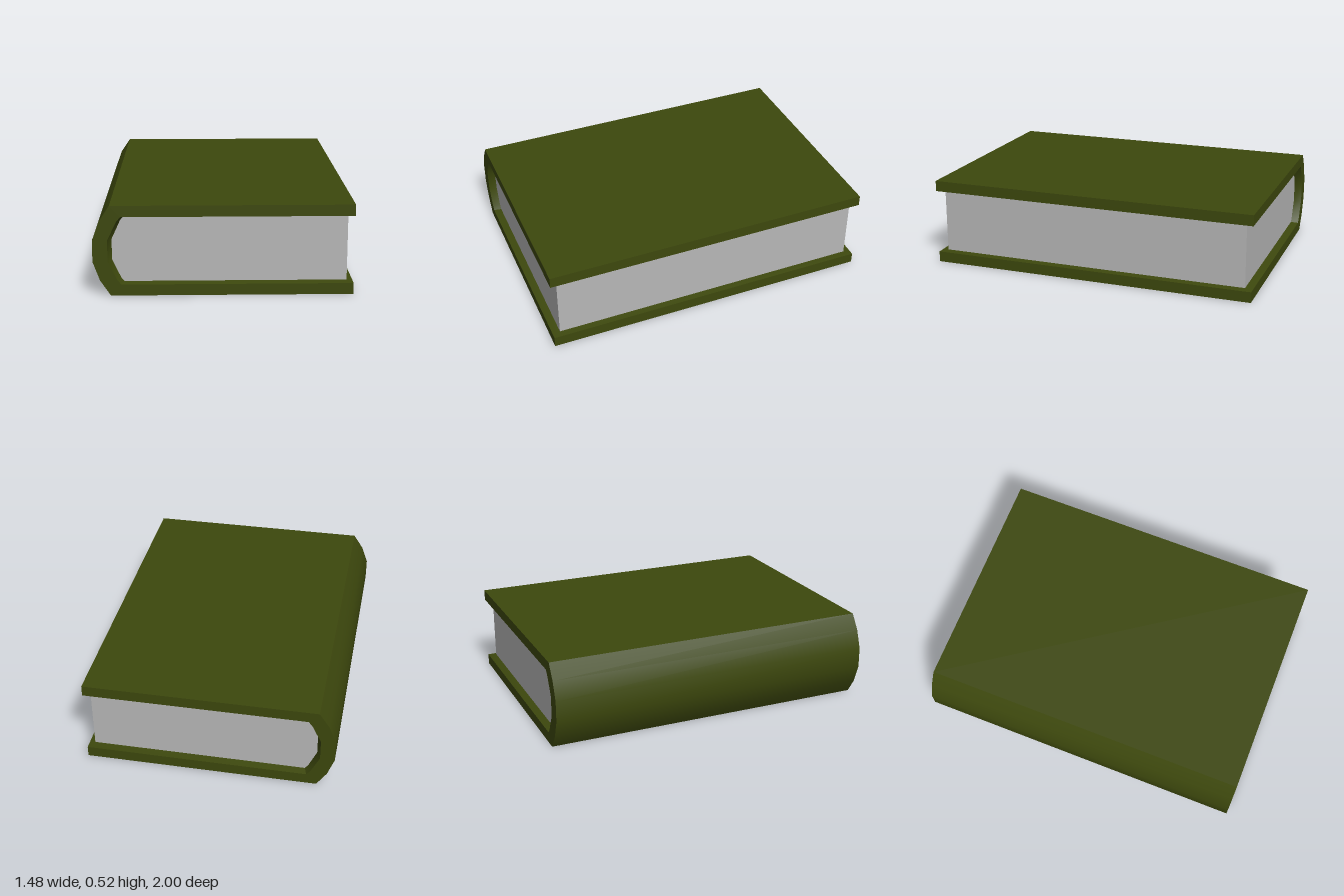
import * as THREE from 'three';
import { toCreasedNormals } from 'three/addons/utils/BufferGeometryUtils.js';

const coverMaterial = new THREE.MeshStandardMaterial({ color: 0x3d480d });
coverMaterial.name = 'olive cover';
const paperMaterial = new THREE.MeshStandardMaterial({ color: 0xb8b8b8 });
paperMaterial.name = 'grey paper';

const MID = 0.2625; // half the book's thickness

// Completes a lower half profile with its mirror image in the upper half
const mirrored = (half) => [...half, ...half.slice().reverse().map(([x, y]) => [x, 2 * MID - y])];

// Profiles run from the bottom fore edge, round the spine, to the top fore edge
const outer = mirrored([[0.74, 0], [-0.64, 0], [-0.7, 0.09], [-0.74, 0.2]]);
const inner = mirrored([[0.74, 0.065], [-0.58, 0.065], [-0.602, 0.092], [-0.655, 0.2]]);
const paper = mirrored([[0.705, 0.072], [-0.565, 0.072], [-0.583, 0.094], [-0.633, 0.203]]);

const HALF = 1; // half length of the cover
const PAPER_HALF = 0.955; // half length of the page block

function coverGeometry() {
  const at = (profile, z) => profile.map(([x, y]) => [x, y, z]);
  const rows = [
    at(paper, -PAPER_HALF), at(inner, -HALF), at(outer, -HALF),
    at(outer, HALF), at(inner, HALF), at(paper, PAPER_HALF),
  ];
  const positions = [];
  const quad = (a, b, c, d) => positions.push(...a, ...b, ...c, ...a, ...c, ...d);

  // Lips, end rims and outside of the wrap
  for (let r = 0; r < rows.length - 1; r++) {
    for (let i = 0; i < outer.length - 1; i++) {
      quad(rows[r][i], rows[r + 1][i], rows[r + 1][i + 1], rows[r][i + 1]);
    }
  }
  // Fore edges of both boards and the slopes leading in to the pages
  const last = outer.length - 1;
  for (const i of [0, last]) {
    for (const strip of [[2, 1, 4, 3], [1, 0, 5, 4]]) {
      const corners = strip.map((r) => rows[r][i]);
      quad(...(i === 0 ? corners : corners.reverse()));
    }
  }
  const geometry = new THREE.BufferGeometry();
  geometry.setAttribute('position', new THREE.Float32BufferAttribute(positions, 3));
  return toCreasedNormals(geometry, THREE.MathUtils.degToRad(35));
}

function pagesGeometry() {
  const shape = new THREE.Shape(paper.map(([x, y]) => new THREE.Vector2(x, y)));
  const geometry = new THREE.ExtrudeGeometry(shape, { depth: 2 * PAPER_HALF, bevelEnabled: false });
  return geometry.translate(0, 0, -PAPER_HALF);
}

export function createModel() {
  const book = new THREE.Group();
  book.name = 'book';

  const cover = new THREE.Mesh(coverGeometry(), coverMaterial);
  cover.name = 'cover';

  const pages = new THREE.Mesh(pagesGeometry(), paperMaterial);
  pages.name = 'pages';

  book.add(cover, pages);
  return book;
}
